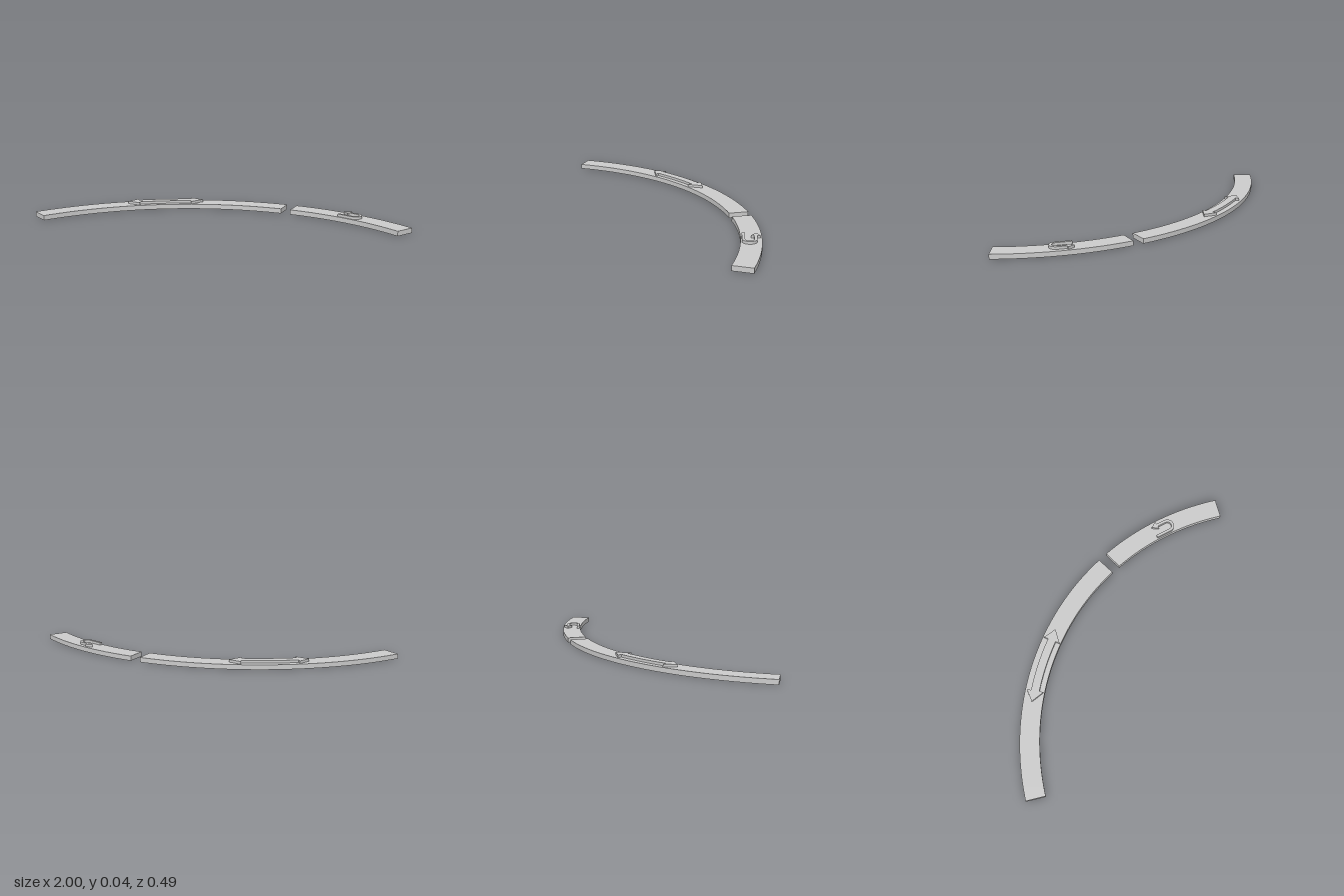
import * as THREE from 'three';

const CENTRE_Z = 1.167; // centre of the curved road
const R_IN = 1.31, R_OUT = 1.414;
const BASE = 0.026, TOP = 0.04;
const material = new THREE.MeshStandardMaterial({ color: 0xcccccc });

// Plan point at a radius and an angle in degrees from the back (plan y is -z)
function polar(radius, degrees) {
  const a = THREE.MathUtils.degToRad(degrees);
  return new THREE.Vector2(radius * Math.sin(a), radius * Math.cos(a) - CENTRE_Z);
}

function arc(radius, from, to) {
  const n = Math.max(4, Math.ceil(Math.abs(to - from)));
  return Array.from({ length: n + 1 }, (_, i) => polar(radius, from + (to - from) * i / n));
}

// Upright slab from a plan outline
function slab(name, shape, y0, y1) {
  const geometry = new THREE.ExtrudeGeometry(shape, { depth: y1 - y0, bevelEnabled: false, curveSegments: 16 });
  geometry.rotateX(-Math.PI / 2);
  geometry.translate(0, y0, 0);
  const mesh = new THREE.Mesh(geometry, material);
  mesh.name = name;
  return mesh;
}

function band(name, from, to) {
  const outline = [...arc(R_OUT, from, to), ...arc(R_IN, to, from)];
  return slab(name, new THREE.Shape(outline), 0, BASE);
}

// Double-headed arrow bent along the road
function doubleArrow() {
  const mid = 1.36, head = 0.045, shaft = 0.022;
  const a = -21.2, b = -8.8;
  return slab('doubleArrow', new THREE.Shape([
    polar(mid + 0.008, -23.7),
    polar(mid + head, a),
    ...arc(mid + shaft, a, b),
    polar(mid + head, b),
    polar(mid + 0.008, -6.1),
    polar(mid - head, b),
    ...arc(mid - shaft, b, a),
    polar(mid - head, a),
  ]), BASE, TOP);
}

// U-turn arrow: the long leg lies on the inner side, the head on the outer side
function turnArrow() {
  const outer = 0.037, inner = 0.022, bend = 0.03, neck = -0.02;
  const s = new THREE.Shape();
  s.moveTo(-0.054, -outer);
  s.lineTo(bend, -outer);
  s.absarc(bend, 0, outer, -Math.PI / 2, Math.PI / 2, false);
  s.lineTo(neck, outer);
  s.lineTo(neck, 0.053);
  s.lineTo(-0.055, 0.031);
  s.lineTo(neck, 0.008);
  s.lineTo(neck, inner);
  s.lineTo(bend, inner);
  s.absarc(bend, 0, inner, Math.PI / 2, -Math.PI / 2, true);
  s.lineTo(-0.054, -inner);
  s.closePath();
  const mesh = slab('turnArrow', s, BASE, TOP);
  mesh.position.set(0.685, 0, 0);
  mesh.rotation.y = THREE.MathUtils.degToRad(-30.3);
  return mesh;
}

export function createModel() {
  const group = new THREE.Group();
  group.name = 'curvedTrack';
  group.add(
    band('longSegment', -45, 13.6),
    band('shortSegment', 15.9, 45),
    doubleArrow(),
    turnArrow(),
  );
  return group;
}
